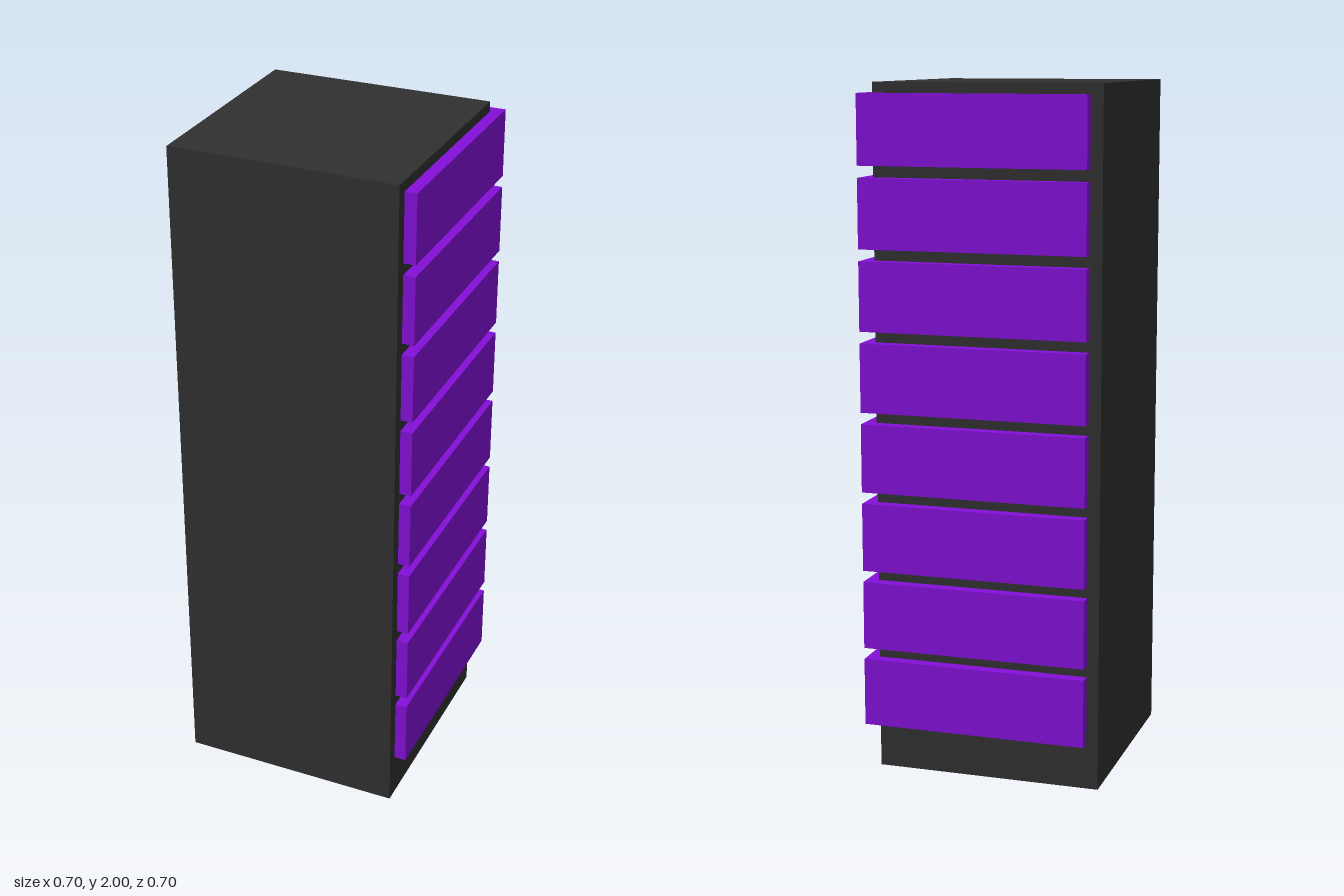
import * as THREE from 'three';

const WIDTH = 0.665; // side of the square plan, shared by tower and bands
const SHIFT = 0.0175; // tower and bands are offset in opposite diagonal directions
const BANDS = 8;
const BAND_HEIGHT = 0.2;
const BAND_PITCH = 0.2336;
const FIRST_BAND = 0.135;

export function createModel() {
  const model = new THREE.Group();
  model.name = 'tower block';

  const dark = new THREE.MeshStandardMaterial({ color: 0x303030 });
  const purple = new THREE.MeshStandardMaterial({ color: 0x8410d8 });

  // Square block with its base at height y
  function addBlock(name, height, y, x, z, material) {
    const mesh = new THREE.Mesh(new THREE.BoxGeometry(WIDTH, height, WIDTH), material);
    mesh.name = name;
    mesh.position.set(x, y + height / 2, z);
    model.add(mesh);
  }

  // Main body
  addBlock('tower', 2, 0, -SHIFT, SHIFT, dark);

  // Floor bands standing proud of the left side and the back
  for (let i = 0; i < BANDS; i++) {
    addBlock(`floorBand${i + 1}`, BAND_HEIGHT, FIRST_BAND + i * BAND_PITCH, SHIFT, -SHIFT, purple);
  }

  return model;
}
